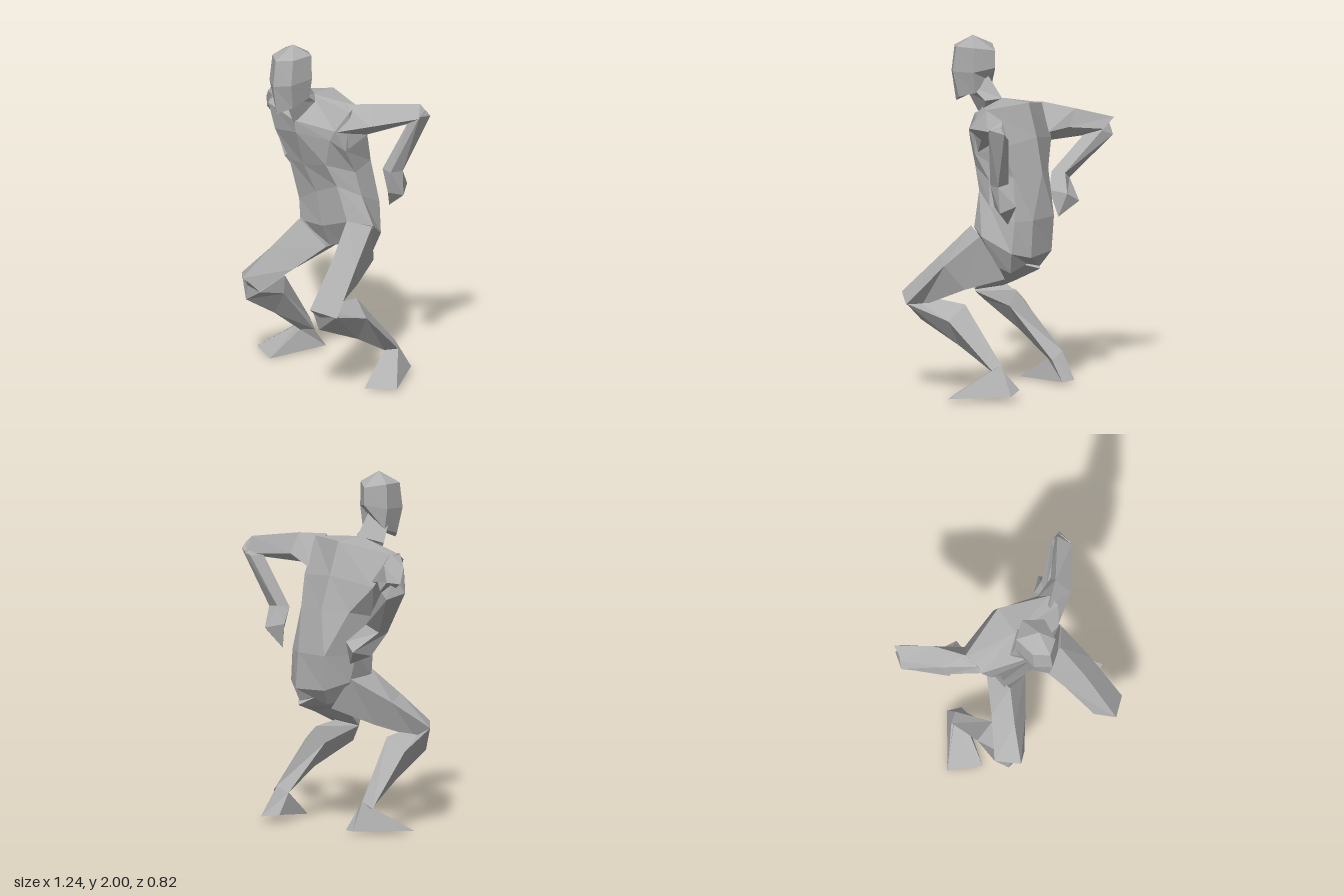
import * as THREE from 'three';

const skin = new THREE.MeshStandardMaterial({ color: 0xb0b0b0 });
skin.name = 'plain grey';
skin.flatShading = true;

// Faceted solid through cross-sections; each ring is a list of [x, y, z] corners.
function loft(name, rings, startTip, endTip) {
  const tris = [];
  const n = rings[0].length;
  const mid = ring => [0, 1, 2].map(k => ring.reduce((s, p) => s + p[k], 0) / n);
  const first = rings[0], last = rings[rings.length - 1];
  const a0 = startTip || mid(first), a1 = endTip || mid(last);
  for (let i = 0; i < n; i++) {
    const j = (i + 1) % n;
    tris.push([a0, first[j], first[i]], [a1, last[i], last[j]]);
    for (let r = 0; r + 1 < rings.length; r++) {
      const A = rings[r], B = rings[r + 1];
      tris.push([A[i], A[j], B[j]], [A[i], B[j], B[i]]);
    }
  }
  // Turn every face outward using the signed volume
  const V = p => new THREE.Vector3(...p);
  const volume = tris.reduce((s, [a, b, c]) => s + V(a).dot(V(b).cross(V(c))), 0);
  const pos = tris.flatMap(([a, b, c]) => (volume > 0 ? [a, b, c] : [a, c, b])).flat();
  const geo = new THREE.BufferGeometry();
  geo.setAttribute('position', new THREE.Float32BufferAttribute(pos, 3));
  geo.computeVertexNormals();
  const mesh = new THREE.Mesh(geo, skin);
  mesh.name = name;
  return mesh;
}

// Six-sided head section with a front and a back corner on the centre line
function headRing(w, yFront, ySide, yBack, zFront, zBack) {
  const yCheek = (yFront + ySide) / 2;
  return [[0, yFront, zFront], [.8 * w, yCheek, zFront - .06], [w, ySide, .1],
    [0, yBack, zBack], [-w, ySide, .1], [-.8 * w, yCheek, zFront - .06]]
    .map(([x, y, z]) => [x - .005, y, z]);
}

export function createModel() {
  const model = new THREE.Group();
  model.name = 'crouchingFigure';

  // Torso: front, left front, left, left back, back, right back, right, right front
  model.add(loft('torso', [
    [[-.03, 1.52, .11], [.23, 1.5, .05], [.28, 1.61, -.02], [.27, 1.63, -.09], [-.01, 1.64, -.2], [-.34, 1.58, -.09], [-.32, 1.58, -.03], [-.3, 1.54, .03]],
    [[-.02, 1.45, .105], [.2, 1.44, .06], [.26, 1.37, -.01], [.26, 1.42, -.19], [0, 1.45, -.26], [-.27, 1.4, -.19], [-.26, 1.38, -.04], [-.24, 1.4, .04]],
    [[-.02, 1.24, .04], [.16, 1.28, .05], [.25, 1.22, -.1], [.23, 1.25, -.25], [.02, 1.25, -.31], [-.14, 1.25, -.25], [-.2, 1.22, -.12], [-.15, 1.24, .02]],
    [[.04, 1.08, 0], [.2, 1.15, 0], [.28, 1.08, -.12], [.27, 1, -.28], [.17, 1, -.34], [-.04, 1, -.35], [-.13, 1, -.18], [-.11, 1, -.02]],
    [[.08, .88, -.01], [.27, .95, -.01], [.37, .92, -.12], [.29, .82, -.27], [.19, .79, -.34], [-.03, .8, -.34], [-.1, .84, -.2], [-.1, .87, -.02]],
    [[.08, .75, -.07], [.2, .78, -.08], [.28, .74, -.16], [.25, .7, -.24], [.12, .74, -.27], [0, .71, -.28], [-.05, .74, -.18], [0, .8, -.06]],
  ], [-.02, 1.65, -.02]));

  // Head and neck
  model.add(loft('head', [
    headRing(.1, 1.93, 1.94, 1.92, .29, .02),
    headRing(.105, 1.78, 1.8, 1.82, .31, .02),
    headRing(.085, 1.61, 1.68, 1.75, .28, .07),
  ], [.01, 2, .16], [-.02, 1.66, .19]));
  model.add(loft('neck', [
    [[-.01, 1.66, .2], [.07, 1.71, .13], [0, 1.77, .06], [-.09, 1.71, .13]],
    [[-.03, 1.5, .11], [.07, 1.64, .04], [0, 1.65, -.03], [-.12, 1.61, .06]],
  ]));

  // Left arm: top, front, underside, back
  const leftWrist = [[.34, 1.23, -.23], [.42, 1.23, -.21], [.45, 1.23, -.28], [.37, 1.24, -.3]];
  model.add(loft('leftUpperArm', [
    [[.23, 1.64, -.04], [.22, 1.49, .05], [.25, 1.37, -.02], [.23, 1.45, -.17]],
    [[.35, 1.645, -.14], [.4, 1.54, -.06], [.34, 1.47, -.1], [.36, 1.53, -.2]],
    [[.52, 1.63, -.35], [.57, 1.57, -.28], [.46, 1.51, -.3], [.53, 1.53, -.39]],
  ], null, [.56, 1.58, -.37]));
  model.add(loft('leftForearm', [
    [[.47, 1.53, -.31], [.57, 1.58, -.29], [.56, 1.56, -.39], [.5, 1.52, -.38]],
    leftWrist,
  ], [.55, 1.6, -.36]));
  model.add(loft('leftHand', [
    leftWrist,
    [[.315, 1.14, -.3], [.39, 1.1, -.22], [.445, 1.08, -.29], [.4, 1.12, -.37]],
  ], null, [.345, 1.0, -.28]));

  // Right arm: top back, top front, front, underside, back
  const rightWrist = [[-.29, 1.2, -.18], [-.37, 1.15, -.18], [-.37, 1.16, -.25], [-.29, 1.2, -.27]];
  model.add(loft('rightUpperArm', [
    [[-.32, 1.59, -.1], [-.3, 1.58, 0], [-.29, 1.53, .03], [-.24, 1.37, -.03], [-.25, 1.43, -.18]],
    [[-.42, 1.55, -.26], [-.46, 1.53, -.14], [-.43, 1.455, -.1], [-.36, 1.365, -.13], [-.36, 1.45, -.25]],
    [[-.585, 1.49, -.415], [-.6, 1.47, -.32], [-.62, 1.41, -.3], [-.52, 1.39, -.3], [-.51, 1.43, -.39]],
  ]));
  model.add(loft('rightForearm', [
    [[-.51, 1.42, -.29], [-.62, 1.42, -.3], [-.58, 1.39, -.41], [-.51, 1.42, -.38]],
    rightWrist,
  ], [-.58, 1.47, -.38]));
  model.add(loft('rightHand', [
    rightWrist,
    [[-.2, 1.11, -.22], [-.31, 1.02, -.25], [-.28, 1.05, -.37], [-.2, 1.1, -.34]],
  ], null, [-.185, .965, -.29]));

  // Legs: front, outer, underside, inner
  const legs = {
    left: {
      hip: [[.28, .96, .005], [.37, .92, -.11], [.28, .67, -.22], [.15, .76, -.07]],
      thigh: [[.33, .78, .18], [.43, .74, .09], [.36, .6, 0], [.23, .63, .11]],
      knee: [[.37, .555, .41], [.485, .505, .31], [.4, .49, .26], [.295, .49, .3]],
      shinTop: [[.37, .555, .4], [.48, .51, .31], [.34, .4, .3], [.295, .49, .3]],
      calf: [[.35, .515, 0], [.465, .43, .04], [.38, .28, .02], [.315, .42, .04]],
      ankle: [[.4, .2, -.27], [.45, .17, -.24], [.39, .16, -.19], [.34, .16, -.24]],
      sole: [[.44, .03, -.36], [.615, .015, -.05], [.44, 0, .03], [.315, .05, -.34]],
    },
    right: {
      hip: [[-.08, .89, .01], [-.1, .86, -.2], [-.02, .69, -.27], [.07, .74, -.05]],
      thigh: [[-.16, .74, .16], [-.22, .71, .02], [-.13, .58, -.03], [-.04, .62, .1]],
      knee: [[-.235, .575, .32], [-.34, .555, .21], [-.26, .5, .17], [-.16, .5, .25]],
      shinTop: [[-.235, .575, .31], [-.34, .555, .21], [-.27, .42, .25], [-.16, .49, .25]],
      calf: [[-.2, .515, 0], [-.32, .44, .02], [-.26, .28, .02], [-.18, .42, .03]],
      ankle: [[-.26, .18, -.27], [-.31, .14, -.24], [-.25, .13, -.18], [-.2, .13, -.24]],
      sole: [[-.26, .02, -.35], [-.47, .01, -.06], [-.29, 0, .03], [-.18, .015, -.32]],
    },
  };
  for (const [side, p] of Object.entries(legs)) {
    model.add(loft(side + 'Thigh', [p.hip, p.thigh, p.knee]));
    model.add(loft(side + 'Shin', [p.shinTop, p.calf, p.ankle]));
    model.add(loft(side + 'Foot', [p.ankle, p.sole]));
  }
  return model;
}
